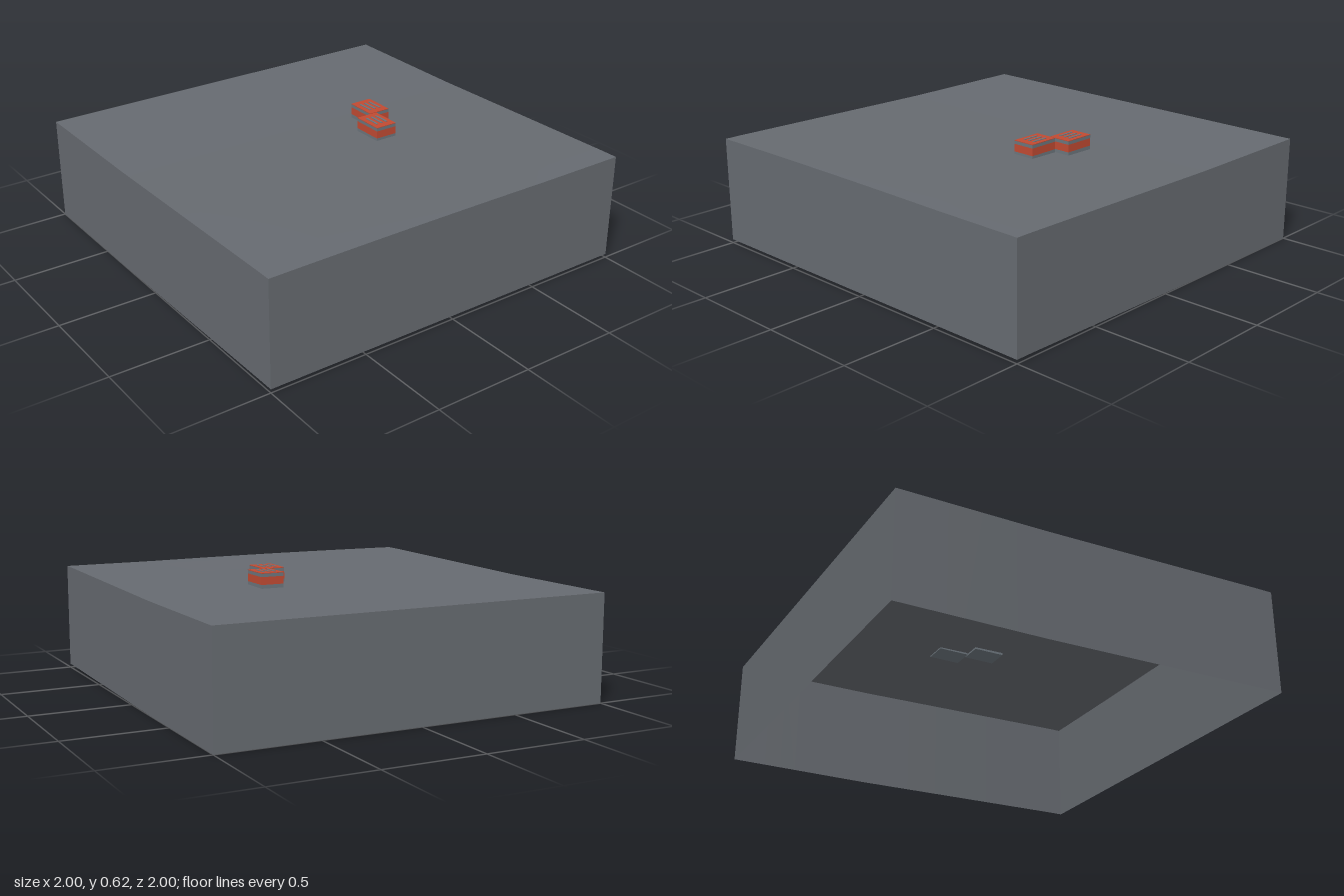
import * as THREE from 'three';

const mat = (name, color, side = THREE.FrontSide) => {
  const m = new THREE.MeshStandardMaterial({ color, side });
  m.name = name;
  return m;
};

// Gentle terrain: flat at the back, rising slightly to the front
const rise = (z) => 0.018 * THREE.MathUtils.clamp((z + 0.27) / 1.2, 0, 1);
const swell = (x, z) => 0.004 * Math.max(0, z) * Math.max(0, 1 - (x + 0.25) ** 2 / 0.6);

export function createModel() {
  const model = new THREE.Group();
  model.name = 'terrainWithSheds';
  const ground = mat('groundGrey', 0x666a70, THREE.DoubleSide);
  const red = mat('brickRed', 0xc04a32);
  const grey = mat('slateGrey', 0x6c757c);

  const box = (parent, name, material, [w, h, d], [x, y, z]) => {
    const mesh = new THREE.Mesh(new THREE.BoxGeometry(w, h, d), material);
    mesh.position.set(x, y, z);
    mesh.name = name;
    parent.add(mesh);
  };

  // Terrain top with skirt walls, open underneath
  const thick = 0.535;
  const geo = new THREE.BoxGeometry(2, thick, 2, 24, 1, 24);
  const under = geo.groups[3];
  const index = Array.from(geo.index.array);
  index.splice(under.start, under.count);
  geo.setIndex(index);
  geo.clearGroups();
  const p = geo.attributes.position;
  for (let i = 0; i < p.count; i++) {
    const x = p.getX(i), z = p.getZ(i), top = p.getY(i) > 0;
    p.setY(i, (top ? thick + swell(x, z) : 0) + rise(z));
  }
  geo.computeVertexNormals();
  const terrain = new THREE.Mesh(geo, ground);
  terrain.name = 'terrain';
  model.add(terrain);

  // Two banded sheds, each with a red roof and three raised slats
  const w = 0.117, d = 0.161;
  for (const [name, cx, cz] of [['frontShed', 0.249, 0.0825], ['backShed', 0.332, -0.0825]]) {
    const shed = new THREE.Group();
    shed.name = name;
    shed.position.set(cx, 0, cz);
    box(shed, 'base', grey, [w, 0.025, d], [0, 0.5425, 0]);
    box(shed, 'redBand', red, [w, 0.038, d], [0, 0.574, 0]);
    box(shed, 'upperBand', grey, [w, 0.016, d], [0, 0.601, 0]);
    box(shed, 'roof', red, [w, 0.003, d], [0, 0.6105, 0]);
    for (const i of [-1, 0, 1]) {
      box(shed, 'roofSlat', grey, [0.01, 0.004, 0.088], [i * 0.029, 0.613, 0]);
    }
    model.add(shed);
  }
  return model;
}
